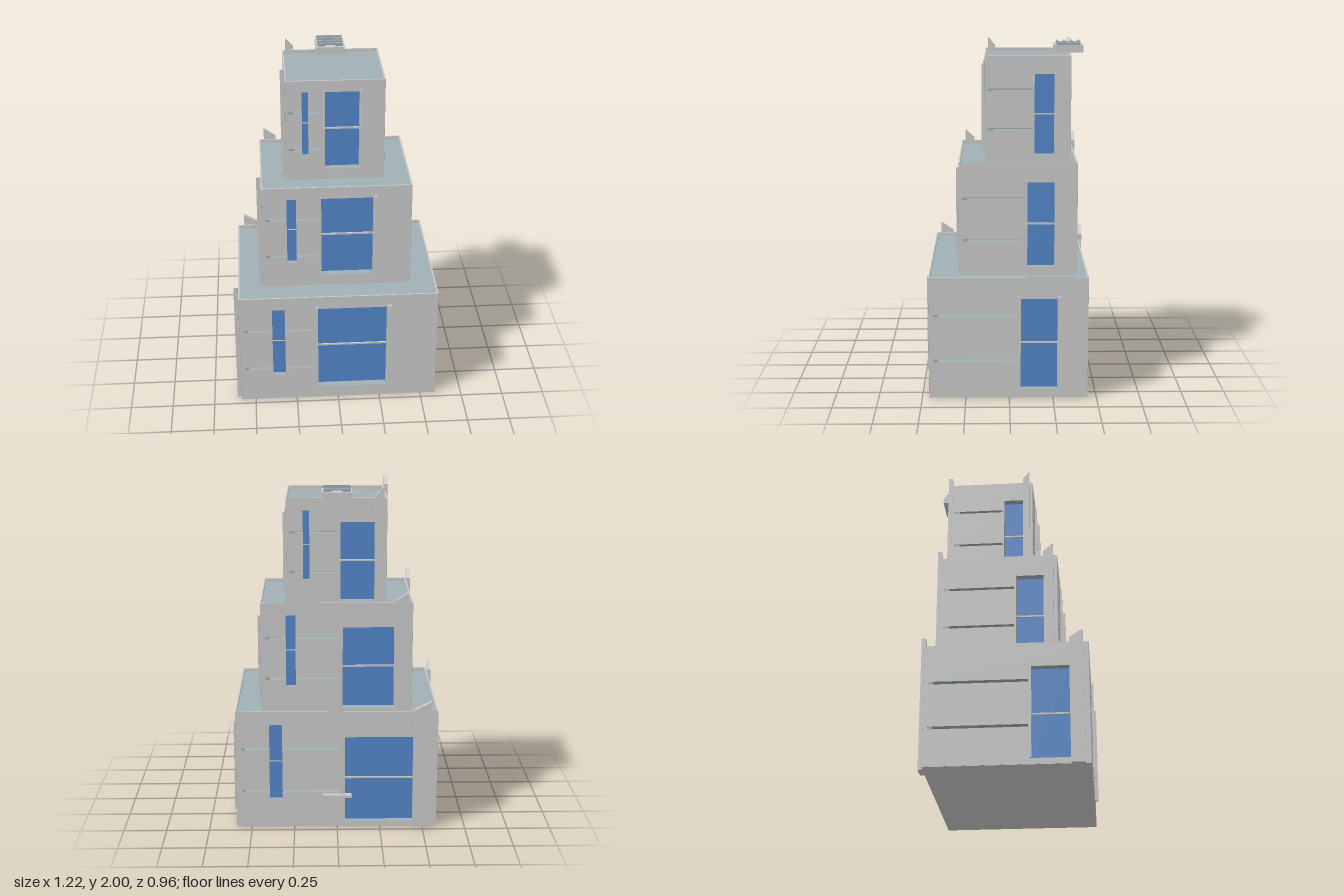
import * as THREE from 'three';

const wallMat = new THREE.MeshStandardMaterial({ color: 0xcccccc });
const roofMat = new THREE.MeshStandardMaterial({ color: 0xa0b0b4 });
const glassMat = new THREE.MeshStandardMaterial({ color: 0x5588cc });

const RECESS = 0.05; // wall thickness and depth of the window reveals
const RIM = 0.02;    // parapet height above the roof

// Box given by its limits on each axis
function box(parent, name, mat, [x0, x1], [y0, y1], [z0, z1]) {
  const mesh = new THREE.Mesh(new THREE.BoxGeometry(x1 - x0, y1 - y0, z1 - z0), mat);
  mesh.position.set((x0 + x1) / 2, (y0 + y1) / 2, (z0 + z1) / 2);
  mesh.name = name;
  parent.add(mesh);
  return mesh;
}

function polygon(points) {
  return points.map(([x, y]) => new THREE.Vector2(x, y));
}

function rect([x0, x1], [y0, y1]) {
  return polygon([[x0, y0], [x1, y0], [x1, y1], [x0, y1]]);
}

// Facade layouts: u runs left to right seen from outside, v runs up, both as fractions of the wall
const SLOT = { u: [0.166, 0.23], v: [0.24, 0.887] };
const GROOVES = [[0.302, 0.324], [0.672, 0.694]];
const FACADES = [
  { name: 'front', u: [0.396, 0.745], v: [0.106, 0.887], groove: [0.026, 0.375], slot: true },
  { name: 'right', u: [0.577, 0.808], v: [0.07, 0.826], groove: [0.03, 0.56] },
  { name: 'back', u: [0.54, 0.88], v: [0.04, 0.78], groove: [0.03, 0.52], slot: true, pillar: true },
  { name: 'left', u: [0.65, 0.88], v: [0.05, 0.8], groove: [0.03, 0.63], pillar: true },
];

// One wall with its openings, glass and trims; its outer surface is at z = 0
function buildFacade(f, L, H) {
  const g = new THREE.Group();
  g.name = f.name + 'Facade';
  const X = u => (u - 0.5) * L;
  const Y = v => v * H;
  const xs = f.u.map(X), ys = f.v.map(Y), gx = f.groove.map(X);
  const sx = SLOT.u.map(X), sy = SLOT.v.map(Y);

  // Wall panel with cut-outs
  const shape = new THREE.Shape(rect([-L / 2 + 0.001, L / 2 - 0.001], [0.002, H - RIM]));
  const cut = pts => shape.holes.push(new THREE.Path(pts));
  cut(rect(xs, ys));
  if (f.slot) {
    // Narrow window and the grooves crossing it form one opening
    const right = [[sx[1], sy[0]]], left = [[sx[0], sy[0]]];
    for (const [a, b] of GROOVES) {
      right.push([sx[1], Y(a)], [gx[1], Y(a)], [gx[1], Y(b)], [sx[1], Y(b)]);
      left.push([sx[0], Y(a)], [gx[0], Y(a)], [gx[0], Y(b)], [sx[0], Y(b)]);
    }
    right.push([sx[1], sy[1]]);
    left.push([sx[0], sy[1]]);
    cut(polygon([...right, ...left.reverse()]));
    box(g, 'narrowGlass', glassMat, sx, sy, [-0.055, -0.03]);
    const my = (sy[0] + sy[1]) / 2;
    box(g, 'narrowWindowBar', wallMat, sx, [my - 0.002, my + 0.002], [-0.03, -0.026]);
  } else {
    for (const v of GROOVES) cut(rect(gx, v.map(Y)));
  }
  const geo = new THREE.ExtrudeGeometry(shape, { depth: RECESS, bevelEnabled: false });
  geo.translate(0, 0, -RECESS);
  const wall = new THREE.Mesh(geo, [wallMat, roofMat]);
  wall.name = 'wall';
  g.add(wall);

  // Main window
  box(g, 'glass', glassMat, xs, ys, [-0.055, -0.045]);
  const mid = (ys[0] + ys[1]) / 2;
  box(g, 'windowBar', wallMat, xs, [mid - 0.005, mid + 0.005], [-0.05, -0.037]);

  // Roof parapet
  box(g, 'parapet', wallMat, [-L / 2, L / 2], [H - RIM, H], [-0.008, 0]);

  // Vertical trims beside the window, or a pillar with a slanted top
  const trimY = [ys[0], ys[1] + Y(0.02)];
  box(g, 'thinTrim', wallMat, [xs[0] - 0.012 * L, xs[0] - 0.001 * L], trimY, [-0.01, 0.013]);
  if (f.pillar) {
    const [p0, p1] = [X(0.883), X(0.966)];
    const profile = new THREE.Shape(polygon([[p0, 0], [p1, 0], [p1, H + 0.065], [p0, H + 0.015]]));
    const pillar = new THREE.Mesh(
      new THREE.ExtrudeGeometry(profile, { depth: 0.025, bevelEnabled: false }), wallMat);
    pillar.name = 'pillar';
    g.add(pillar);
  } else {
    box(g, 'thickTrim', wallMat, [xs[1] + 0.003 * L, xs[1] + 0.02 * L], trimY, [-0.01, 0.02]);
  }
  return g;
}

// One storey: solid core and roof, surrounded by four facades
function buildTier(name, w, h, d) {
  const tier = new THREE.Group();
  tier.name = name;
  const cx = w / 2 - RECESS, cz = d / 2 - RECESS;
  box(tier, 'coreAndRoof', roofMat, [-cx, cx], [0.003, h - RIM], [-cz, cz]);
  box(tier, 'floor', wallMat, [-w / 2 + 0.001, w / 2 - 0.001], [0, 0.004], [-d / 2 + 0.001, d / 2 - 0.001]);
  FACADES.forEach((f, i) => {
    const side = i % 2 === 1;
    const facade = buildFacade(f, side ? d : w, h);
    const angle = i * Math.PI / 2, dist = (side ? w : d) / 2;
    facade.rotation.y = angle;
    facade.position.set(Math.sin(angle) * dist, 0, Math.cos(angle) * dist);
    tier.add(facade);
  });
  return tier;
}

export function createModel() {
  const model = new THREE.Group();
  model.name = 'steppedTower';

  // Storeys: width, height, depth, then position
  const tiers = [
    ['lowerStorey', 1.175, 0.71, 0.91, 0.002, 0, 0.005],
    ['middleStorey', 0.873, 0.65, 0.679, 0.002, 0.69, -0.052],
    ['upperStorey', 0.57, 0.615, 0.495, 0.002, 1.32, -0.11],
  ];
  for (const [name, w, h, d, x, y, z] of tiers) {
    const tier = buildTier(name, w, h, d);
    tier.position.set(x, y, z);
    model.add(tier);
  }

  // Small ledge on the back wall
  box(model, 'backLedge', wallMat, [-0.085, 0.085], [0.19, 0.205], [-0.482, -0.44]);

  // Roof vent overhanging the back, with rails and slats on top
  const vent = new THREE.Group();
  vent.name = 'roofVent';
  model.add(vent);
  box(vent, 'ventBox', wallMat, [-0.085, 0.085], [1.935, 1.978], [-0.438, -0.268]);
  for (const s of [-1, 1]) {
    box(vent, 'ventRail', roofMat, [s * 0.053 - 0.022, s * 0.053 + 0.022], [1.976, 1.988], [-0.422, -0.283]);
  }
  for (const z of [-0.416, -0.374, -0.332, -0.29]) {
    box(vent, 'ventSlat', roofMat, [-0.076, 0.076], [1.985, 1.998], [z - 0.005, z + 0.005]);
  }
  return model;
}
